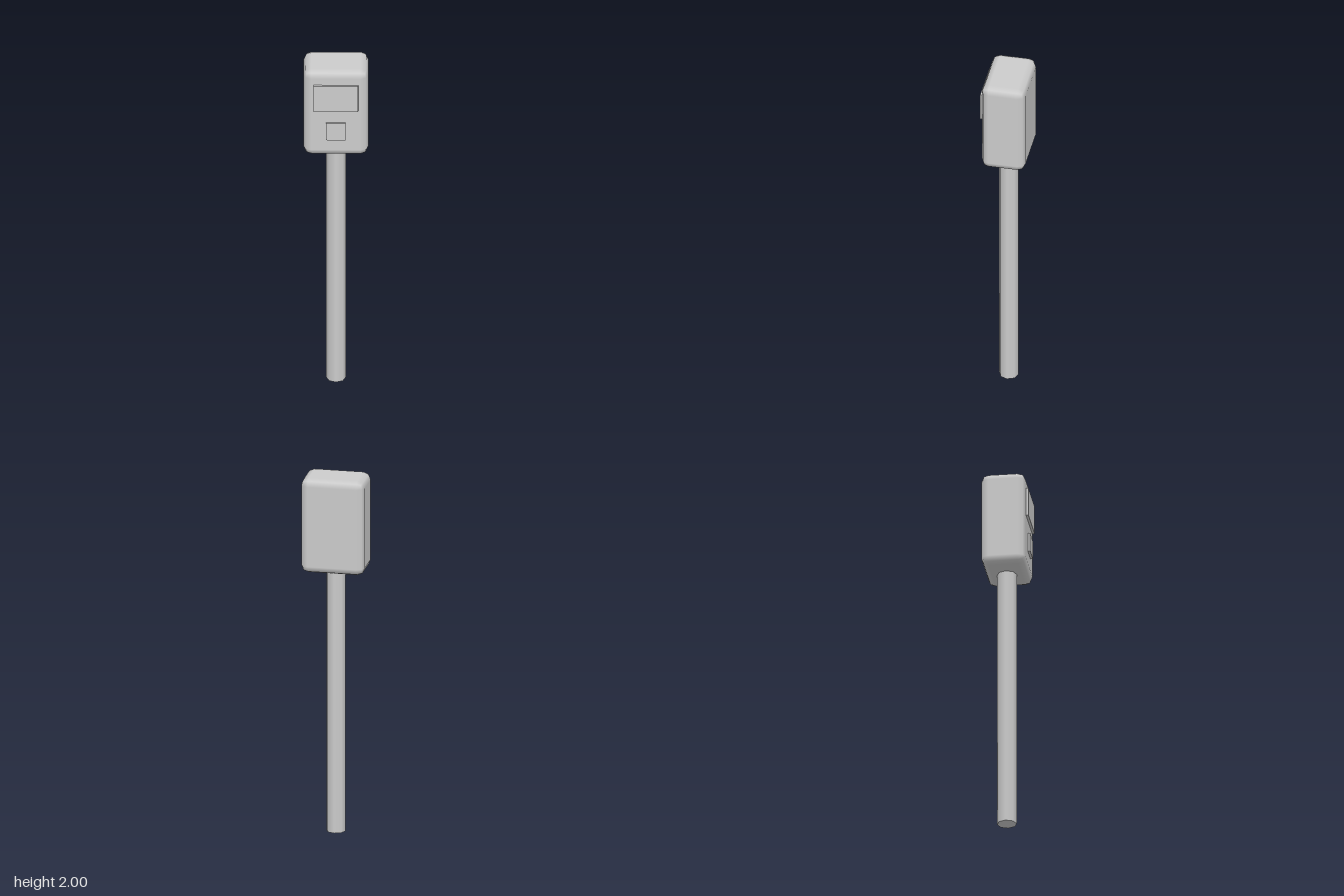
import * as THREE from 'three';
import { RoundedBoxGeometry } from 'three/addons/geometries/RoundedBoxGeometry.js';

export function createModel() {
  const model = new THREE.Group();
  const grey = new THREE.MeshStandardMaterial({ color: 0xcccccc });
  grey.name = 'light grey';
  const centreZ = -0.0075;

  const add = (name, geometry, x, y, z) => {
    const mesh = new THREE.Mesh(geometry, grey);
    mesh.name = name;
    mesh.position.set(x, y, z);
    model.add(mesh);
  };

  // Upright post, running a little way into the housing
  add('post', new THREE.CylinderGeometry(0.053, 0.053, 1.5, 8), 0, 0.75, centreZ);

  // Housing with softly bevelled edges
  add('housing', new RoundedBoxGeometry(0.347, 0.53, 0.239, 1, 0.041), 0, 1.735, centreZ);

  // Raised display and button on the front face, set slightly into the housing
  const frontPlate = (name, width, height, y) =>
    add(name, new THREE.BoxGeometry(width, height, 0.024), 0, y, 0.113);
  frontPlate('display', 0.24, 0.16, 1.84);
  frontPlate('button', 0.104, 0.105, 1.633);

  return model;
}
